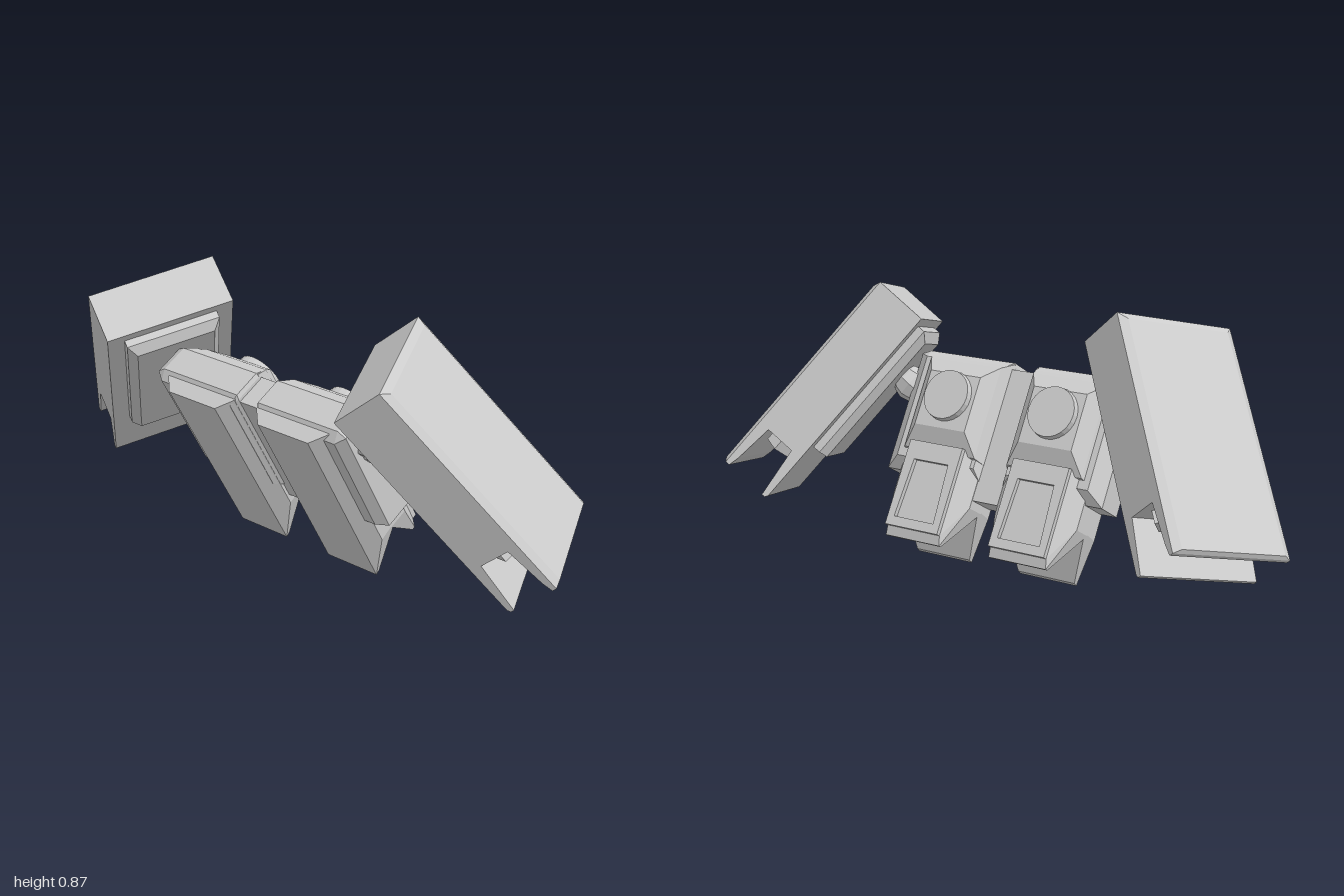
import * as THREE from 'three';
import { ConvexGeometry } from 'three/addons/geometries/ConvexGeometry.js';

const material = new THREE.MeshStandardMaterial({ color: 0xcccccc, flatShading: true });

// Solid spanned by flat rectangles, each [z, x0, x1, y0, y1]
function hull(...rects) {
  const pts = [];
  for (const [z, x0, x1, y0, y1] of rects)
    for (const x of [x0, x1]) for (const y of [y0, y1]) pts.push(new THREE.Vector3(x, y, z));
  return new ConvexGeometry(pts);
}

function outline(points) {
  return new THREE.Shape(points.map(([x, y]) => new THREE.Vector2(x, y)));
}

function extrude(points, depth, hole) {
  const shape = outline(points);
  if (hole) shape.holes.push(outline(hole));
  return new THREE.ExtrudeGeometry(shape, { depth, bevelEnabled: false });
}

// Mirror in x and restore the winding
function mirrored(geometry) {
  const g = geometry.clone().scale(-1, 1, 1);
  const p = g.attributes.position;
  for (let i = 0; i < p.count; i += 3) {
    const b = new THREE.Vector3().fromBufferAttribute(p, i + 1);
    const c = new THREE.Vector3().fromBufferAttribute(p, i + 2);
    p.setXYZ(i + 1, c.x, c.y, c.z);
    p.setXYZ(i + 2, b.x, b.y, b.z);
  }
  g.computeVertexNormals();
  return g;
}

export function createModel() {
  const model = new THREE.Group();
  model.name = 'thrusterPack';

  function addPair(name, geometry, matrix) {
    const g = geometry.index ? geometry.toNonIndexed() : geometry;
    g.applyMatrix4(matrix);
    g.computeVertexNormals();
    for (const [side, geo] of [['Left', g], ['Right', mirrored(g)]]) {
      const mesh = new THREE.Mesh(geo, material);
      mesh.name = name + side;
      model.add(mesh);
    }
  }

  // ---- Central body, leaning forward by 30 degrees ----
  const tilt = new THREE.Matrix4().makeRotationX(Math.PI / 6);
  const cx = 0.195;
  const leg = (z, h, y0, y1) => [z, cx - h, cx + h, y0, y1];

  const core = new THREE.Mesh(
    new THREE.BoxGeometry(0.12, 0.434, 0.108).translate(0, 0.373, -0.134).applyMatrix4(tilt), material);
  core.name = 'centreBlock';
  model.add(core);

  // Shoulder housing
  addPair('shoulder', hull(
    [-0.055, 0.06, 0.37, 0.23, 0.59],
    [-0.08, 0.04, 0.4, 0.21, 0.6],
    [-0.085, 0.045, 0.37, 0.21, 0.614],
    [-0.18, 0.045, 0.37, 0.21, 0.614],
    [-0.18, 0.04, 0.4, 0.21, 0.6],
    [-0.215, 0.06, 0.355, 0.25, 0.585]), tilt);

  // Front and back shells of each pod, open like a V at the bottom
  addPair('podFront', hull(
    leg(-0.022, 0.1025, -0.012, 0.6),
    leg(-0.038, 0.1025, -0.008, 0.6),
    leg(-0.07, 0.1475, 0.127, 0.605),
    leg(-0.085, 0.1, 0.09, 0.605),
    leg(-0.14, 0.1475, 0.135, 0.6)), tilt);
  addPair('podBack', hull(
    leg(-0.12, 0.1475, 0.13, 0.6),
    leg(-0.185, 0.1, 0.05, 0.56),
    leg(-0.19, 0.1475, 0.13, 0.56),
    leg(-0.215, 0.1025, -0.01, 0.5),
    leg(-0.226, 0.1025, -0.01, 0.5),
    leg(-0.236, 0.1, 0.02, 0.45)), tilt);

  // Raised bulge carrying the round cap
  addPair('capHousing', hull(
    leg(-0.18, 0.155, 0.27, 0.61),
    leg(-0.225, 0.135, 0.28, 0.58),
    leg(-0.262, 0.095, 0.35, 0.53)), tilt);
  addPair('roundCap',
    new THREE.CylinderGeometry(0.08, 0.085, 0.04, 24).rotateX(-Math.PI / 2).translate(cx, 0.455, -0.262), tilt);

  // Framed panel on the lower back
  addPair('backPanelFrame', extrude(
    [[cx - 0.1, 0.02], [cx + 0.1, 0.02], [cx + 0.1, 0.3], [cx - 0.1, 0.3]], 0.03,
    [[cx - 0.075, 0.05], [cx - 0.065, 0.24], [cx + 0.065, 0.24], [cx + 0.075, 0.05]]
  ).translate(0, 0, -0.252), tilt);

  // ---- Side binders: local x runs down the length, y outward, z towards the front ----
  const u = new THREE.Vector3(0.5, -0.75, -0.434).normalize();
  const v = new THREE.Vector3(0.432, -0.216, 0.875);
  v.addScaledVector(u, -v.dot(u)).normalize();
  const w = new THREE.Vector3().crossVectors(v, u);
  const frame = new THREE.Matrix4().makeBasis(u, w, v).setPosition(0.3, 0.76, 0.002);
  const L = 0.76, W = 0.417;

  // Main casing, forked at its lower end
  addPair('binderCasing', extrude([
    [0, 0], [L - 0.01, 0], [L, 0.006], [L, 0.018], [0.59, 0.038], [0.59, 0.138],
    [0.725, 0.152], [L, 0.16], [L, 0.175], [0, 0.175],
  ], W), frame);

  // Outer cover with a narrow chamfer
  const cover = [];
  for (const [y, inset] of [[0.17, 0], [0.175, 0], [0.188, 0.025]])
    for (const x of [inset, L - inset * 0.3])
      for (const z of [inset, W - inset]) cover.push(new THREE.Vector3(x, y, z));
  addPair('binderCover', new ConvexGeometry(cover), frame);

  // Nested hexagonal nozzle frames inside the fork
  const hex = (a, b) => [[-a, 0], [-a + b, -b], [a - b, -b], [a, 0], [a - b, b], [-a + b, b]];
  const placeEnd = (g, x, y) => g.rotateY(Math.PI / 2).translate(x, y, W / 2);
  addPair('nozzleOuter', placeEnd(extrude(hex(0.175, 0.046), 0.045, hex(0.155, 0.036)), 0.585, 0.088), frame);
  addPair('nozzleInner', placeEnd(extrude(hex(0.15, 0.032), 0.025, hex(0.135, 0.023)), 0.585, 0.088), frame);

  // Raised pad on the inner face with a hollow lower end
  const pad = [];
  for (const [y, x0, z0, z1] of [[0.01, 0.03, 0.055, 0.362], [-0.025, 0.03, 0.055, 0.362], [-0.05, 0.06, 0.08, 0.337]])
    for (const x of [x0, 0.5]) for (const z of [z0, z1]) pad.push(new THREE.Vector3(x, y, z));
  addPair('innerPad', new ConvexGeometry(pad), frame);
  addPair('padEndFrame', placeEnd(extrude(
    [[-0.153, 0.01], [-0.153, -0.025], [-0.128, -0.05], [0.128, -0.05], [0.153, -0.025], [0.153, 0.01]], 0.045,
    [[-0.11, -0.005], [-0.11, -0.038], [0.11, -0.038], [0.11, -0.005]]), 0.499, 0), frame);

  // Joint between pad and shoulder
  addPair('jointBall', new THREE.SphereGeometry(0.058, 8, 6).translate(0.2, -0.085, 0.21), frame);
  addPair('jointPin',
    new THREE.CylinderGeometry(0.035, 0.035, 0.12, 8).rotateZ(Math.PI / 2).translate(0.39, 0.52, -0.13), tilt);

  return model;
}
